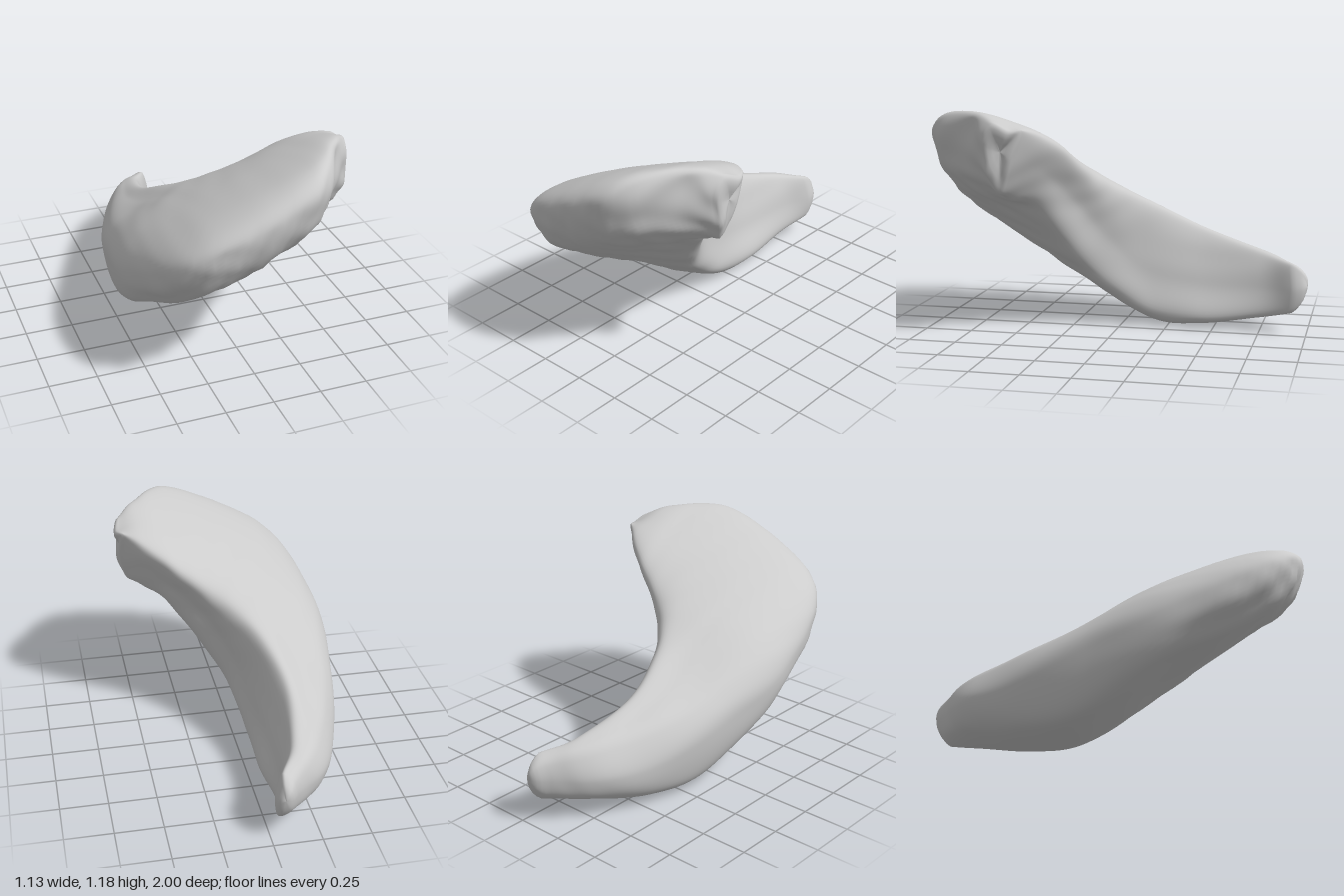
import * as THREE from 'three';

const curve = (pts, closed = false) =>
  new THREE.CatmullRomCurve3(pts.map(p => new THREE.Vector3(...p)), closed, 'catmullrom', 0.5);

// Lengthwise rails, all running from the narrow tail to the blunt head
const innerTop = curve([[-.05, .37, -.92], [-.14, .42, -.74], [-.185, .53, -.42], [-.12, .67, -.15],
  [-.01, .78, .03], [.14, .9, .15], [.31, 1.01, .22], [.43, 1.07, .29], [.52, 1.1, .37]]);
const topMiddle = curve([[-.075, .375, -.94], [-.21, .42, -.77], [-.3, .495, -.44], [-.3, .61, -.13],
  [-.25, .79, .18], [-.06, .97, .45], [.25, 1.11, .5], [.43, 1.15, .46], [.55, 1.11, .43]]);
const outerShoulder = curve([[-.11, .34, -.955], [-.27, .37, -.77], [-.4, .42, -.44], [-.475, .51, -.1],
  [-.48, .7, .34], [-.28, .93, .76], [.2, 1.16, .85], [.43, 1.185, .64], [.53, 1.14, .53]]);
const outerRim = curve([[-.13, .26, -.95], [-.32, .25, -.76], [-.445, .26, -.45], [-.53, .37, -.05],
  [-.56, .54, .42], [-.37, .81, .92], [.19, 1.05, .965], [.435, 1.085, .67], [.525, 1.04, .58]]);
const underside = curve([[-.11, .17, -.94], [-.26, .13, -.75], [-.36, .06, -.45], [-.43, .08, -.1],
  [-.45, .31, .36], [-.25, .57, .8], [.2, .81, .84], [.43, .88, .63], [.53, .88, .55]]);
const innerBottom = curve([[-.04, .13, -.92], [-.08, .085, -.73], [-.07, .045, -.43], [-.08, .06, -.16],
  [-.02, .26, .15], [.13, .485, .32], [.3, .69, .41], [.41, .75, .46], [.49, .79, .49]]);
const innerWall = curve([[-.02, .25, -.93], [-.085, .25, -.75], [-.1, .25, -.43], [-.07, .33, -.13],
  [0, .5, .05], [.13, .69, .18], [.31, .85, .27], [.43, .92, .34], [.525, .95, .42]]);
const rails = [innerTop, topMiddle, outerShoulder, outerRim, underside, innerBottom, innerWall];

const LENGTH = 90, AROUND = 84;

// One closed cross-section through the rails
function section(t) {
  const loop = curve(rails.map(r => r.getPoint(t).toArray()), true);
  return Array.from({ length: AROUND }, (_, j) => loop.getPoint(j / AROUND));
}

// A cap ring: a section pulled towards its centre and pushed along an axis
function capRing(ring, scale, push) {
  const centre = ring.reduce((s, p) => s.add(p), new THREE.Vector3()).divideScalar(ring.length);
  return ring.map(p => p.clone().sub(centre).multiplyScalar(scale).add(centre).add(push));
}

function loft(rings) {
  const position = rings.flatMap(ring => ring.flatMap(p => [p.x, p.y, p.z]));
  const index = [];
  for (let i = 0; i < rings.length - 1; i++) {
    for (let j = 0; j < AROUND; j++) {
      const k = (j + 1) % AROUND;
      const a = i * AROUND + j, b = i * AROUND + k, c = a + AROUND, d = b + AROUND;
      index.push(a, b, c, b, d, c);
    }
  }
  const geometry = new THREE.BufferGeometry();
  geometry.setAttribute('position', new THREE.Float32BufferAttribute(position, 3));
  geometry.setIndex(index);
  geometry.computeVertexNormals();
  return geometry;
}

// Rough lumps on the underside, faint ripples elsewhere
function roughen(geometry) {
  const pos = geometry.attributes.position, nor = geometry.attributes.normal;
  const p = new THREE.Vector3(), n = new THREE.Vector3();
  for (let i = 0; i < pos.count; i++) {
    p.fromBufferAttribute(pos, i);
    n.fromBufferAttribute(nor, i);
    const facing = THREE.MathUtils.smoothstep(n.z * 0.8 - n.y * 0.6, 0.1, 0.7);
    const front = THREE.MathUtils.smoothstep(p.z, -0.1, 0.3);
    const lump = Math.sin(29 * p.x + 9 * p.y + 2 * Math.sin(8 * p.y)) *
      Math.sin(24 * p.y - 13 * p.x + 1.5 * Math.sin(13 * p.x)) + 0.4 * Math.sin(37 * p.x - 21 * p.y);
    p.addScaledVector(n, lump * (0.0015 + 0.006 * facing * front));
    pos.setXYZ(i, p.x, p.y, p.z);
  }
  geometry.computeVertexNormals();
}

export function createModel() {
  const body = Array.from({ length: LENGTH + 1 }, (_, i) => section(i / LENGTH));
  const tail = body[0], head = body[LENGTH];

  // Rounded tail tip and a blunt, gently domed head end
  const tailCap = [[0, -.065], [.25, -.063], [.5, -.054], [.7, -.04], [.88, -.02]]
    .map(([s, z]) => capRing(tail, s, new THREE.Vector3(-z * 0.3, 0, z)));
  const headCap = [[.94, .01], [.82, .018], [.6, .022], [.35, .016], [0, .012]]
    .map(([s, x]) => capRing(head, s, new THREE.Vector3(x, 0, 0)));

  const geometry = loft([...tailCap, ...body, ...headCap]);
  roughen(geometry);

  const mesh = new THREE.Mesh(geometry, new THREE.MeshStandardMaterial({ color: 0xcccccc }));
  mesh.name = 'curvedBody';
  const group = new THREE.Group();
  group.name = 'curvedHorn';
  group.add(mesh);
  return group;
}
